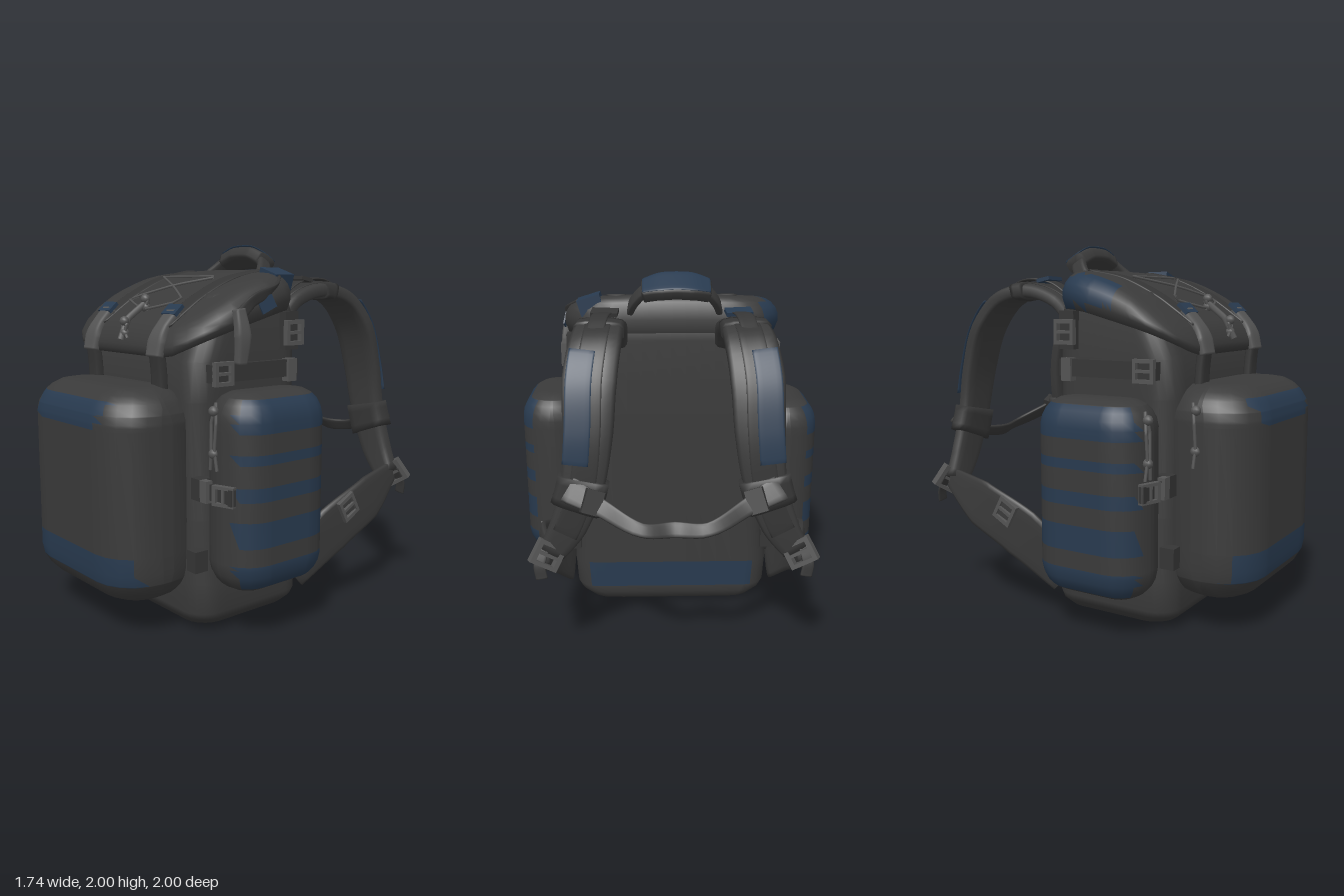
import * as THREE from 'three';

const mat = (name, color) => {
  const m = new THREE.MeshStandardMaterial({ color });
  m.name = name;
  return m;
};
const V = (x, y, z) => new THREE.Vector3(x, y, z);

export function createModel() {
  const fabric = mat('fabric', 0x3a3a3a);
  const webbing = mat('webbing', 0x353535);
  const blue = mat('bluePanel', 0x283a4f);
  const plastic = mat('buckleGrey', 0x545454);
  const group = new THREE.Group();
  group.name = 'backpack';

  const add = (name, geo, material) => {
    const mesh = new THREE.Mesh(geo, material);
    mesh.name = name;
    group.add(mesh);
    return mesh;
  };

  // Skin closed rings of points, cap both ends; paint(centroid) picks the blue faces
  function loft(rings, paint) {
    const n = rings[0].length, pts = rings.flat();
    const last = rings.length - 1;
    const mid = (ring) => ring.reduce((s, p) => s.add(p), V(0, 0, 0)).divideScalar(n);
    const a = pts.push(mid(rings[0])) - 1, b = pts.push(mid(rings[last])) - 1;
    let tris = [];
    for (let j = 0; j < n; j++) {
      const k = (j + 1) % n;
      for (let i = 0; i < last; i++) {
        const p = i * n + j, q = i * n + k;
        tris.push([p, q, q + n], [p, q + n, p + n]);
      }
      tris.push([a, k, j], [b, last * n + j, last * n + k]);
    }
    // make the winding face outwards
    let volume = 0;
    for (const [i, j, k] of tris) volume += pts[i].clone().sub(pts[a]).dot(pts[j].clone().sub(pts[a]).cross(pts[k].clone().sub(pts[a])));
    if (volume < 0) tris = tris.map(([i, j, k]) => [i, k, j]);
    const geo = new THREE.BufferGeometry().setFromPoints(pts);
    if (paint) {
      const isBlue = (t) => paint(V(0, 0, 0).add(pts[t[0]]).add(pts[t[1]]).add(pts[t[2]]).divideScalar(3));
      const flags = new Map(tris.map((t) => [t, isBlue(t)]));
      const plain = tris.filter((t) => !flags.get(t)), blues = tris.filter((t) => flags.get(t));
      geo.addGroup(0, plain.length * 3, 0);
      geo.addGroup(plain.length * 3, blues.length * 3, 1);
      tris = [...plain, ...blues];
    }
    geo.setIndex(tris.flat());
    geo.computeVertexNormals();
    return geo;
  }

  // Rounded rectangle in plan; y may vary with x and z
  function ring(cx, cz, hx, hz, r, y, n = 10) {
    const out = [], corners = [[1, 1], [-1, 1], [-1, -1], [1, -1]];
    const c = corners.map(([sx, sz]) => [cx + sx * (hx - r), cz + sz * (hz - r)]);
    for (let i = 0; i < 4; i++) {
      for (let j = 0; j <= 5; j++) {
        const t = (i + j / 5) * Math.PI / 2;
        out.push([c[i][0] + r * Math.cos(t), c[i][1] + r * Math.sin(t)]);
      }
      const p = out[out.length - 1], m = (i + 1) % 4, t = (i + 1) * Math.PI / 2;
      const q = [c[m][0] + r * Math.cos(t), c[m][1] + r * Math.sin(t)];
      for (let j = 1; j < n; j++) out.push([p[0] + (q[0] - p[0]) * j / n, p[1] + (q[1] - p[1]) * j / n]);
    }
    return out.map(([x, z]) => V(x, typeof y === 'function' ? y(x, z) : y, z));
  }

  // Soft pocket: rounded box with extra rows at the panel edges
  function pillow(x0, x1, y0, y1, z0, z1, r, e, cuts, paint) {
    const ys = [...cuts];
    for (let j = 0; j <= 5; j++) {
      const d = e * (1 - Math.cos(j * Math.PI / 10));
      ys.push(y0 + d, y1 - d);
    }
    ys.sort((p, q) => p - q);
    return loft(ys.map((y) => {
      const d = Math.max(0, Math.min(y - y0, y1 - y, e));
      const inset = e - Math.sqrt(e * e - (e - d) ** 2);
      const hx = (x1 - x0) / 2 - inset, hz = (z1 - z0) / 2 - inset;
      return ring((x0 + x1) / 2, (z0 + z1) / 2, hx, hz, Math.min(r, hx * 0.95, hz * 0.95), y, 14);
    }), paint);
  }

  // Flat strap along a curve: across is the width direction, lift shifts it along its normal
  function ribbon(points, across, widths, thick, { lift = 0, from = 0, to = 1, steps = 24 } = {}) {
    const curve = new THREE.CatmullRomCurve3(points.map((p) => V(...p)));
    const rings = [];
    for (let i = 0; i <= steps; i++) {
      const t = from + (to - from) * i / steps, T = curve.getTangent(t), c = curve.getPoint(t);
      const W = V(...across).addScaledVector(T, -V(...across).dot(T)).normalize();
      const N = T.clone().cross(W), f = t * (widths.length - 1), k = Math.min(Math.floor(f), widths.length - 2);
      const w = widths.length > 1 ? widths[k] + (widths[k + 1] - widths[k]) * (f - k) : widths[0];
      const sec = [];
      for (let j = 0; j < 12; j++) {
        const a = (j + 0.5) * Math.PI / 6, sq = (v) => Math.sign(v) * Math.sqrt(Math.abs(v));
        sec.push(c.clone().addScaledVector(W, sq(Math.cos(a)) * w / 2).addScaledVector(N, sq(Math.sin(a)) * thick / 2 + lift));
      }
      rings.push(sec);
    }
    return loft(rings);
  }

  const box = (name, m, size, pos, rot = [0, 0, 0]) => {
    const mesh = add(name, new THREE.BoxGeometry(...size), m);
    mesh.position.set(...pos);
    mesh.rotation.set(...rot);
  };
  const cord = (name, pts, r) =>
    add(name, new THREE.TubeGeometry(new THREE.CatmullRomCurve3(pts.map((p) => V(...p)), false, 'catmullrom', 0.1), 24, r, 6), plastic);
  // Square ladder-lock buckle: a frame with two slots
  const buckle = (name, [x, y, z], w, h, rot, d = 0.03) => {
    const s = new THREE.Shape([[-w, -h], [w, -h], [w, h], [-w, h]].map(([a, b]) => new THREE.Vector2(a / 2, b / 2)));
    for (const k of [-1, 1]) {
      const pts = [[-0.34, -0.14], [0.34, -0.14], [0.34, 0.14], [-0.34, 0.14]];
      s.holes.push(new THREE.Path(pts.map(([a, b]) => new THREE.Vector2(a * w, b * h + k * h * 0.2))));
    }
    const mesh = add(name, new THREE.ExtrudeGeometry(s, { depth: d, bevelEnabled: false }).translate(0, 0, -d / 2), plastic);
    mesh.position.set(x, y, z);
    mesh.rotation.set(...rot);
  };
  // Knotted zip pull hanging down
  const pull = (x, y, z, len) => {
    for (const s of [-1, 1]) cord('pullCord', [[x, y, z], [x + s * 0.018, y - len * 0.3, z + 0.015], [x + s * 0.012, y - len * 0.7, z + 0.02], [x + s * 0.025, y - len, z + 0.015]], 0.009);
    for (const f of [0.12, 0.75]) {
      const knot = add('pullKnot', new THREE.SphereGeometry(0.026, 10, 8), plastic);
      knot.position.set(x, y - len * f, z + 0.015);
    }
  };

  // Main sack: y, half width, back z, front z
  const sack = [[0, 0.42, -0.07, 0.46], [0.025, 0.5, -0.11, 0.54], [0.07, 0.55, -0.128, 0.585], [0.11, 0.57, -0.13, 0.605], [0.27, 0.58, -0.13, 0.61],
    [0.6, 0.55, -0.13, 0.6], [1.2, 0.54, -0.13, 0.61], [1.4, 0.54, -0.13, 0.59], [1.62, 0.53, -0.13, 0.5], [1.73, 0.5, -0.12, 0.38], [1.79, 0.44, -0.07, 0.22]];
  add('mainSack', loft(sack.map(([y, hx, z0, z1]) => ring(0, (z0 + z1) / 2, hx, (z1 - z0) / 2, 0.13, y)),
    (c) => c.z < -0.122 && c.y > 0.11 && c.y < 0.27), [fabric, blue]);

  // Lid: domed cover sloping to the front, hem rising at the sides
  const lidTop = (x, z) => 1.855 - 0.1 * z - 0.6 * z * z - 0.06 * x * x;
  const lidHem = (x, z) => 1.62 - 0.26 * (z + 0.13) + 0.35 * Math.max(0, Math.abs(x) - 0.38);
  const lidRows = [[0.88, 0.05], [0.97, 0], [1, 0.25], [1, 0.48], [0.975, 0.7], [0.93, 0.87], [0.88, 0.96], [0.81, 1], [0.6, 1], [0.35, 1], [0.1, 1]];
  add('lid', loft(lidRows.map(([s, f]) => ring(-0.01, 0.265, 0.61 * s, 0.395 * s, 0.26 * s, (x, z) => lidHem(x, z) + (lidTop(x, z) - lidHem(x, z)) * f)),
    (c) => c.x < -0.5 && c.z < 0.29 && c.z > -0.09 && c.y > 1.66), [fabric, blue]);

  // Front pocket with blue trapezoid and lower band
  add('frontPocket', pillow(-0.52, 0.48, 0.18, 1.28, 0.45, 1, 0.24, 0.18, [0.3, 0.45, 1.08, 1.115, 1.15, 1.185, 1.22],
    (c) => c.z > 0.8 && ((c.y > 1.08 && c.y < 1.22 && Math.abs(c.x + 0.04) < 0.28 + (c.y - 1.08) * 0.55) ||
      (c.y > 0.3 && c.y < 0.45 && Math.abs(c.x + 0.02) < 0.46))), [fabric, blue]);

  // Lid cords, knot and lashing straps
  const onLid = (x, z) => [x, lidTop(x, z) + 0.012, z];
  cord('lidCord', [[-0.27, 0.2], [0, 0.33], [0.24, 0.45], [0, 0.53], [-0.25, 0.45], [0, 0.32], [0.24, 0.2], [-0.27, 0.2]].map((p) => onLid(...p)), 0.007);
  cord('knotTail', [[0, 1.69, 0.5], [-0.01, 1.6, 0.62], [0, 1.49, 0.675]], 0.018);
  pull(0, 1.71, 0.5, 0.07);
  pull(0, 1.6, 0.635, 0.1);
  for (const x of [-0.31, 0.3]) {
    add('lidStrap', ribbon([...[-0.02, 0.2, 0.4, 0.5].map((z) => [x, lidTop(x, z), z]), [x, 1.57, 0.615]], [1, 0, 0], [0.11], 0.014), webbing);
    add('frontBuckle', ribbon([[x, 1.64, 0.55], [x, 1.53, 0.64], [x, 1.42, 0.672]], [1, 0, 0], [0.11, 0.1, 0.13, 0.12], 0.045), plastic);
    add('frontStrap', ribbon([[x, 1.44, 0.655], [x, 1.35, 0.645], [x, 1.24, 0.64]], [1, 0, 0], [0.1], 0.05), webbing);
    box('strapTab', blue, [0.115, 0.02, 0.07], [x, 1.65, 0.555], [0.75, 0, 0]);
  }
  box('topPouch', blue, [0.13, 0.09, 0.13], [0.44, 1.805, -0.02], [0, 0, -0.3]);

  // Carry handle leaning back
  add('handleStrap', ribbon([[-0.27, 1.77, -0.07], [-0.23, 1.85, -0.16], [-0.16, 1.915, -0.215], [-0.02, 1.93, -0.225], [0.12, 1.915, -0.215], [0.19, 1.85, -0.16], [0.23, 1.77, -0.07]], [0, -0.5, -0.86], [0.09], 0.04), fabric);
  const grip = [[-0.2, 1.9, -0.215], [-0.1, 1.925, -0.23], [0.05, 1.925, -0.23], [0.15, 1.9, -0.215]];
  add('handleGrip', ribbon(grip, [0, -0.5, -0.86], [0.12, 0.16, 0.16, 0.12], 0.08), fabric);
  add('gripPanel', ribbon(grip, [0, -0.5, -0.86], [0.11, 0.15, 0.15, 0.11], 0.009, { lift: 0.039, from: 0.03, to: 0.97 }), blue);

  for (const s of [-1, 1]) {
    const dy = s < 0 ? -0.05 : 0;
    // Side pocket with blue stripes on its outer face
    const stripes = [[0.3, 0.43], [0.52, 0.65], [0.75, 0.82], [0.93, 0.98], [1.08, 1.24]].map((p) => p.map((y) => y + dy));
    const xs = [s * 0.5, s * 0.87].sort((a, b) => a - b);
    add('sidePocket', pillow(xs[0], xs[1], 0.27 + dy, 1.27 + dy, -0.05, 0.57, 0.17, 0.14, stripes.flat(),
      (c) => Math.abs(c.x) > 0.775 && c.z > -0.01 && stripes.some(([a, b]) => c.y > a && c.y < b)), [fabric, blue]);
    pull(s * 0.7 + (s < 0 ? -0.04 : -0.05), 1.22 + dy, 0.56, 0.33);
    box('pocketStrap', webbing, [0.26, 0.08, 0.03], [s * 0.67, 0.78, 0.575]);
    buckle('pocketBuckle', [s * 0.74, 0.78, 0.585], 0.1, 0.12, [0, s * 0.3, Math.PI / 2]);
    box('pocketClip', plastic, [0.05, 0.11, 0.04], [s * 0.61, 0.78, 0.59]);
    for (const [x, y, z] of [[0.57, 0.78, -0.07], [0.57, 0.41, -0.07], [0.54, 0.41, 0.59], [0.55, 0.78, 0.57]]) box('strapStub', webbing, [0.07, 0.11, 0.08], [s * x, y, z]);

    // Upper compression strap
    box('compressionStrap', webbing, [0.05, 0.09, 0.58], [s * 0.55, 1.345, 0.23]);
    buckle('compressionBuckle', [s * 0.585, 1.345, 0.46], 0.12, 0.12, [0, Math.PI / 2, 0]);
    box('compressionClip', plastic, [0.05, 0.12, 0.06], [s * 0.565, 1.335, -0.01]);
    box('sidePatch', webbing, [0.05, 0.2, 0.09], [s * 0.555, 1.54, -0.01]);
    buckle('sideBuckle', [s * 0.595, 1.53, -0.01], 0.12, 0.13, [0, Math.PI / 2, 0]);

    // Padded shoulder strap with blue panel set towards its outer edge
    const path = [[0.35, 1.6, -0.1], [0.35, 1.69, -0.19], [0.365, 1.745, -0.37], [0.385, 1.7, -0.55], [0.41, 1.54, -0.68], [0.42, 1.3, -0.755], [0.45, 1.05, -0.78], [0.53, 0.82, -0.78], [0.62, 0.67, -0.77]].map(([x, y, z]) => [s * x, y, z]);
    const widths = [0.22, 0.23, 0.24, 0.26, 0.27, 0.25, 0.22, 0.19, 0.14];
    const outer = path.map(([x, y, z]) => [x + s * 0.05, y, z]);
    add('shoulderStrap', ribbon(path, [1, 0, 0], widths, 0.08, { steps: 40 }), fabric);
    add('strapWebbing', ribbon(path, [1, 0, 0], [0.13], 0.01, { lift: -0.04, from: 0.08, to: 0.9, steps: 36 }), webbing);
    add('strapPanel', ribbon(outer, [1, 0, 0], [0.13], 0.009, { lift: -0.045, from: 0.42, to: 0.7 }), blue);
    add('strapLoop', ribbon(path, [1, 0, 0], [0.26], 0.12, { from: 0.74, to: 0.82, steps: 4 }), webbing);
    add('strapLoop', ribbon(path, [1, 0, 0], [0.26], 0.1, { from: 0.26, to: 0.31, steps: 4 }), webbing);

    // Load lifter webbing with its tab; only the right one is blue
    add('loadLifter', ribbon([[s * 0.36, 1.7, -0.1], [s * 0.35, 1.79, -0.26], [s * 0.37, 1.805, -0.42], [s * 0.39, 1.74, -0.55]], [1, 0, 0], [0.09], 0.012), webbing);
    box('lifterTab', s < 0 ? blue : webbing, [0.14, 0.02, 0.08], [s * 0.35, 1.805, -0.29], [-0.2, s * -0.1, 0]);

    // Lower strap wing and its buckles
    const wing = [[s * 0.64, 0.68, -0.79], [s * 0.7, 0.58, -0.53], [s * 0.68, 0.44, -0.25], [s * 0.6, 0.22, -0.01]];
    add('lowerStrap', ribbon(wing, [0, 0.86, 0.5], [0.12, 0.27, 0.3, 0.23], 0.035), fabric);
    buckle('wingBuckle', [s * 0.715, 0.56, -0.33], 0.12, 0.13, [0.5, Math.PI / 2, 0]);
    buckle('strapBuckle', [s * 0.64, 0.67, -0.81], 0.15, 0.13, [0.2, s * 0.4, s * 0.5], 0.05);
    add('strapTail', ribbon([[s * 0.66, 0.7, -0.8], [s * 0.68, 0.62, -0.83], [s * 0.67, 0.55, -0.84]], [1, 0, 0], [0.06], 0.012), webbing);
  }

  // Sagging chest strap with adjusters
  const half = [[0.52, 1.04, -0.84], [0.36, 0.96, -0.89], [0.16, 0.88, -0.98], [0, 0.865, -0.945]];
  add('chestStrap', ribbon([...half.map(([x, y, z]) => [-x, y, z]), ...half.slice(0, 3).reverse()], [0, 0.85, 0.5], [0.14, 0.09, 0.07, 0.08, 0.07, 0.09, 0.14], 0.022, { steps: 36 }), webbing);
  for (const s of [-1, 1]) box('chestAdjuster', webbing, [0.09, 0.12, 0.045], [s * 0.4, 0.985, -0.88], [0.3, s * 0.3, s * 0.3]);

  // Hanging side clip and its arched strap
  add('sideClipStrap', ribbon([[0.5, 1.8, 0.02], [0.575, 1.75, 0.12], [0.605, 1.7, 0.28], [0.605, 1.62, 0.38]], [0, 0.8, -0.5], [0.06], 0.02), webbing);
  add('sideClip', ribbon([[0.605, 1.66, 0.38], [0.625, 1.53, 0.37], [0.61, 1.39, 0.37]], [0, 0, 1], [0.06, 0.09, 0.06], 0.05), plastic);
  box('sidePanel', blue, [0.008, 0.07, 0.1], [0.604, 1.68, 0.19], [0.4, 0, 0.2]);

  // Front pocket zip pull
  pull(-0.52, 1.2, 0.7, 0.32);

  return group;
}
